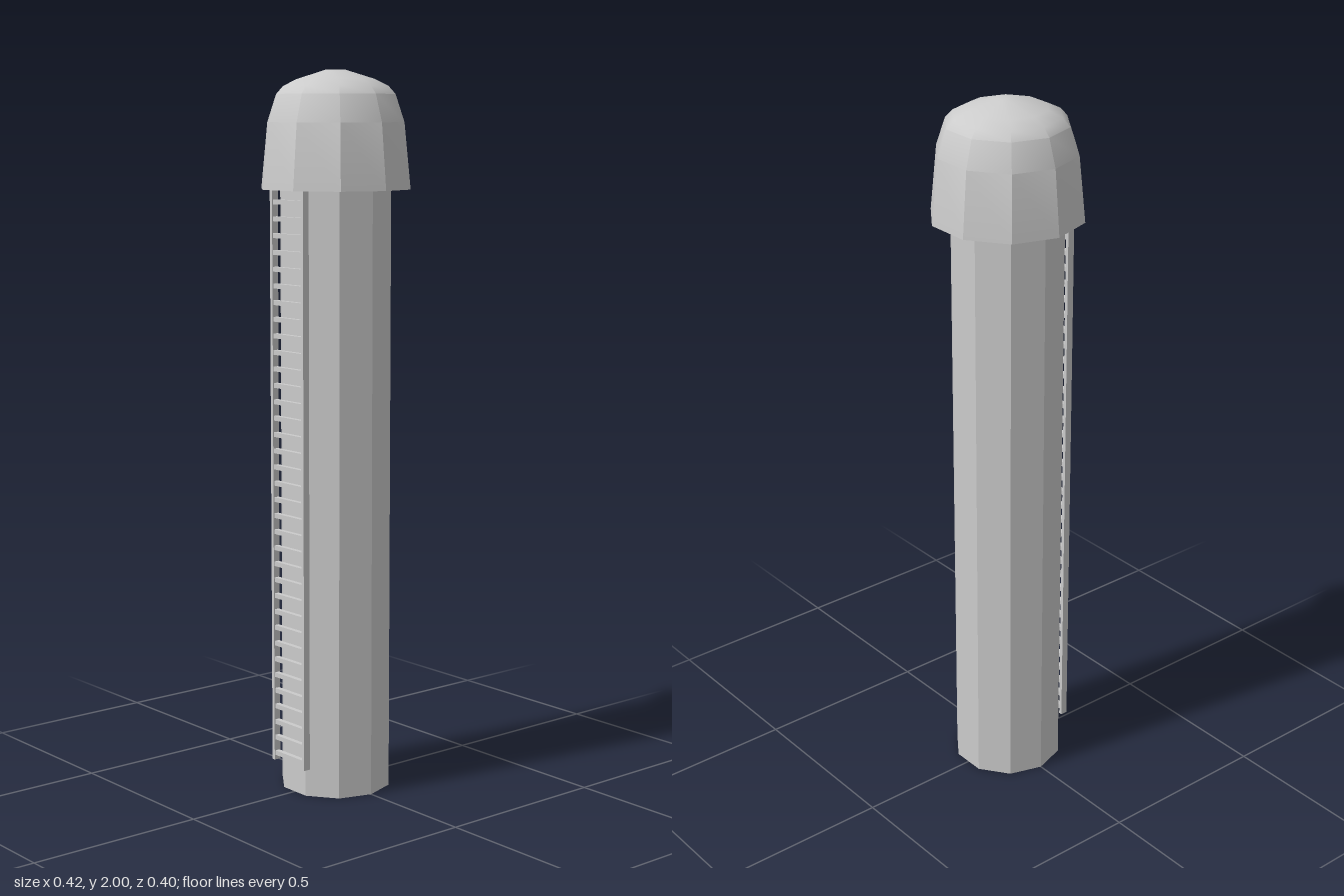
import * as THREE from 'three';
import { toCreasedNormals } from 'three/addons/utils/BufferGeometryUtils.js';

const SIDES = 10;

export function createModel() {
  const group = new THREE.Group();
  const grey = new THREE.MeshStandardMaterial({ color: 0xcccccc });
  const shell = new THREE.MeshStandardMaterial({ color: 0xcccccc, side: THREE.DoubleSide });

  const add = (name, geometry, material, parent = group) => {
    const mesh = new THREE.Mesh(geometry, material);
    mesh.name = name;
    parent.add(mesh);
    return mesh;
  };

  // Ten-sided lathe with corners on the x axis and flats towards front and back
  const lathe = (points) => {
    const geometry = new THREE.LatheGeometry(points.map(([r, y]) => new THREE.Vector2(r, y)), SIDES);
    geometry.rotateY(Math.PI / 2);
    return toCreasedNormals(geometry, 0.6);
  };

  // Tower: open tube
  add('towerWall', lathe([[0.156, 0], [0.156, 1.68]]), shell);

  // Dome: overhanging shell, open below, with a small flat crown
  add('domeRoof', lathe([
    [0.21, 1.68], [0.192, 1.86], [0.167, 1.935], [0.147, 1.957],
    [0.11, 1.975], [0.028, 2.0], [0, 2.0],
  ]), shell);

  // Ladder: two rails and evenly spaced rungs on the front flat
  const ladder = new THREE.Group();
  ladder.name = 'ladder';
  ladder.position.x = -0.006;
  group.add(ladder);

  const bottom = 0.08, top = 1.69, halfWidth = 0.066;
  const railGeometry = new THREE.BoxGeometry(0.01, top - bottom, 0.02);
  for (const side of [-1, 1]) {
    const rail = add(side < 0 ? 'rightRail' : 'leftRail', railGeometry, grey, ladder);
    rail.position.set(side * halfWidth, (bottom + top) / 2, 0.157);
  }

  const rungGeometry = new THREE.BoxGeometry(halfWidth * 2, 0.013, 0.014);
  for (let i = 0; i < 35; i++) {
    add('rung', rungGeometry, grey, ladder).position.set(0, 0.1 + i * 0.0455, 0.157);
  }

  return group;
}
